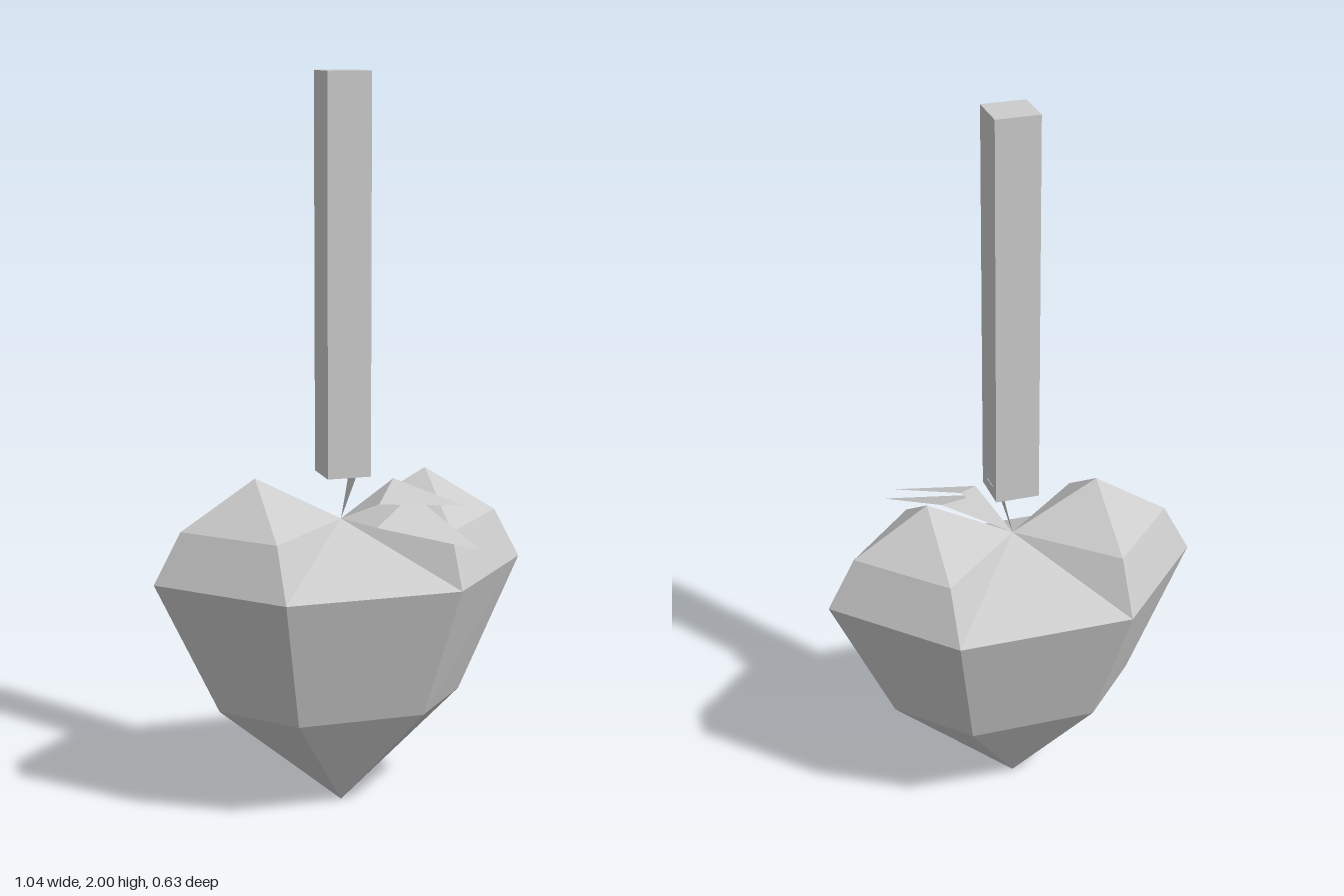
import * as THREE from 'three';

const grey = new THREE.MeshStandardMaterial({ color: 0xcccccc });
grey.name = 'grey';
const greyThin = new THREE.MeshStandardMaterial({ color: 0xcccccc, side: THREE.DoubleSide });
greyThin.name = 'grey leaf';

// Faceted mesh from flat polygons (each a list of corners, fanned from the first)
function facets(name, polygons, material) {
  const pos = [];
  for (const p of polygons) {
    for (let i = 1; i < p.length - 1; i++) pos.push(...p[0], ...p[i], ...p[i + 1]);
  }
  const g = new THREE.BufferGeometry();
  g.setAttribute('position', new THREE.Float32BufferAttribute(pos, 3));
  g.computeVertexNormals();
  const m = new THREE.Mesh(g, material);
  m.name = name;
  return m;
}

export function createModel() {
  const group = new THREE.Group();
  const zc = -0.016;

  // Heart body: one quadrant, mirrored in x and z
  const tip = [0, 0, 0], dip = [0, 0.805, 0], peak = [0.24, 0.932, 0];
  const lowMid = [0, 0.29, 0.187], low = [0.175, 0.29, 0.187], lowSide = [0.345, 0.29, 0];
  const rimMid = [0, 0.66, 0.3], rim = [0.24, 0.66, 0.3], rimSide = [0.52, 0.66, 0];
  const lobe = [0.24, 0.8, 0.215], lobeSide = [0.445, 0.8, 0];
  const quadrant = [
    [tip, low, lowMid], [tip, lowSide, low],
    [lowMid, low, rim, rimMid], [low, lowSide, rimSide, rim],
    [rim, rimSide, lobeSide, lobe], [lobe, lobeSide, peak],
    [dip, rimMid, rim], [dip, rim, lobe], [dip, lobe, peak],
  ];
  const body = [];
  for (const sx of [1, -1]) {
    for (const sz of [1, -1]) {
      for (const face of quadrant) {
        const f = face.map(([x, y, z]) => [x * sx, y, z * sz + zc]);
        body.push(sx * sz < 0 ? f.reverse() : f);
      }
    }
  }
  group.add(facets('heartBody', body, grey));

  // Square post above the heart
  const post = new THREE.Mesh(new THREE.BoxGeometry(0.12, 1.067, 0.12), grey);
  post.name = 'post';
  post.position.set(0, 1.4665, 0);
  group.add(post);

  // Folded leaves fanning out from the dip
  const base = [0, 0.805, zc];
  group.add(facets('lowerLeaf', [
    [base, [0.038, 0.822, 0.18], [0.177, 0.878, 0.063]],
    [[0.038, 0.822, 0.18], [0.275, 0.778, 0.314], [0.177, 0.878, 0.063]],
  ], greyThin));
  group.add(facets('upperLeaf', [
    [base, [0.057, 0.875, 0.14], [0.13, 0.92, 0.04]],
    [[0.057, 0.875, 0.14], [0.275, 0.87, 0.2], [0.13, 0.92, 0.04]],
  ], greyThin));
  group.add(facets('uprightLeaf', [
    [base, [0.035, 0.935, 0.02], [0.035, 0.935, -0.05]],
    [[0.035, 0.935, 0.02], [0.066, 0.975, 0.01], [0.066, 0.975, -0.04], [0.035, 0.935, -0.05]],
  ], greyThin));

  return group;
}
